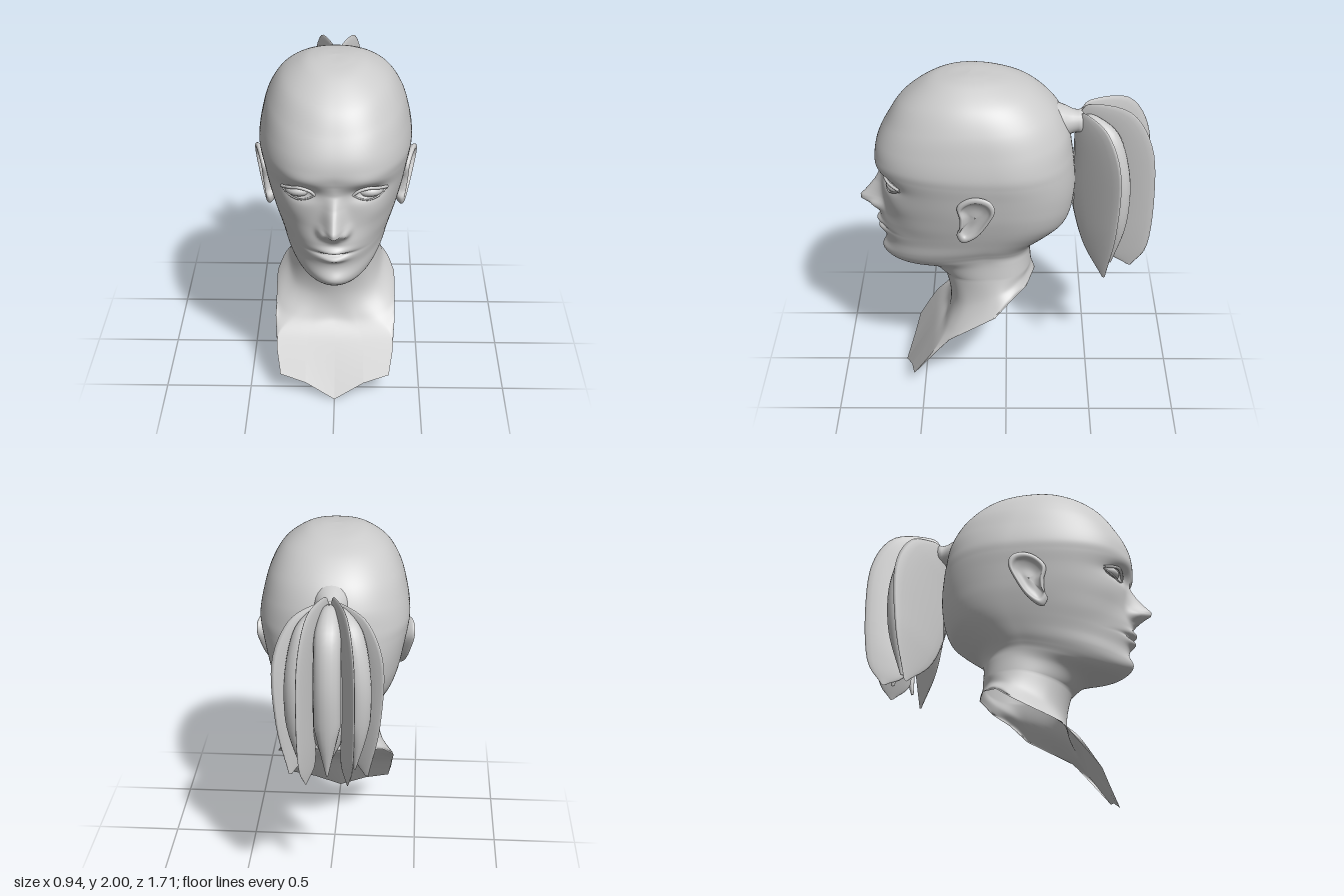
import * as THREE from 'three';

const material = new THREE.MeshStandardMaterial({ color: 0xcccccc, side: THREE.DoubleSide });
const V = (x, y, z) => new THREE.Vector3(x, y, z);
const spline = (pts, closed = false, tension = 0.5) =>
  new THREE.CatmullRomCurve3(pts.map(p => (p.isVector3 ? p : V(...p))), closed, 'catmullrom', tension);

function add(parent, name, geometry) {
  const mesh = new THREE.Mesh(geometry, material);
  mesh.name = name;
  parent.add(mesh);
  return mesh;
}

// Smooth skin over closed cross-section loops: point(i, j) with i along, j around
function loft(rows, cols, point) {
  const pos = [], idx = [];
  for (let i = 0; i <= rows; i++)
    for (let j = 0; j < cols; j++) pos.push(...point(i / rows, j / cols).toArray());
  for (let i = 0; i < rows; i++)
    for (let j = 0; j < cols; j++) {
      const a = i * cols + j, b = i * cols + (j + 1) % cols;
      idx.push(a, a + cols, b, b, a + cols, b + cols);
    }
  const g = new THREE.BufferGeometry();
  g.setAttribute('position', new THREE.Float32BufferAttribute(pos, 3));
  g.setIndex(idx);
  g.computeVertexNormals();
  return g;
}

// Linear lookup in ascending [key, value] pairs
function table(pts, k) {
  for (let i = 1; i < pts.length; i++)
    if (k >= pts[i - 1][0] && k <= pts[i][0])
      return THREE.MathUtils.mapLinear(k, pts[i - 1][0], pts[i][0], pts[i - 1][1], pts[i][1]);
  return 0;
}

// Head rings, crown to neck. Front line: [squareness, y, z]
const front = spline([
  [2, 2, .2], [2, 1.985, .34], [2.1, 1.945, .46], [2.2, 1.83, .605], [2.35, 1.7, .69], [2.45, 1.6, .74],
  [2.5, 1.52, .757], [2.5, 1.46, .748], [2.5, 1.38, .728], [2.4, 1.28, .722], [2.25, 1.18, .722], [2.15, 1.08, .733],
  [2.05, 1, .727], [2, .94, .716], [2, .87, .712], [2, .82, .69], [2, .79, .625], [2, .775, .47], [2, .71, .375]]);
// Widest line: [half width, y, z]
const side = spline([
  [0, 2, .2], [.105, 1.995, .2], [.195, 1.97, .2], [.308, 1.89, .17], [.38, 1.77, .13], [.417, 1.64, .09],
  [.435, 1.53, .06], [.43, 1.46, .05], [.415, 1.38, .04], [.4, 1.3, .04], [.385, 1.23, .04], [.365, 1.16, .04],
  [.345, 1.1, .05], [.322, 1.04, .08], [.3, .985, .11], [.28, .945, .12], [.265, .91, .12], [.257, .86, .09], [.26, .77, .08]]);
// Back line: [0, y, z]
const back = spline([
  [0, 2, .2], [0, 1.99, .08], [0, 1.965, -.04], [0, 1.91, -.165], [0, 1.8, -.285], [0, 1.67, -.355],
  [0, 1.54, -.38], [0, 1.45, -.392], [0, 1.35, -.4], [0, 1.26, -.398], [0, 1.16, -.382], [0, 1.08, -.35],
  [0, 1.03, -.3], [0, .98, -.235], [0, .94, -.178], [0, .91, -.155], [0, .88, -.146], [0, .85, -.143], [0, .78, -.147]]);

function headBase(t, a) {
  const f = front.getPoint(t), s = side.getPoint(t), b = back.getPoint(t);
  const c = Math.cos(a), sn = Math.sin(a), e = c > 0 ? f : b, n = c > 0 ? f.x : 2.25;
  const r = (Math.abs(c) ** n + Math.abs(sn) ** n) ** (-1 / n);
  const droop = c > 0 ? 2 - .8 * THREE.MathUtils.smoothstep(t, .5, .8) : 2;
  return V(s.x * sn * r, s.y + (e.y - s.y) * Math.abs(c) ** droop, s.z + Math.abs(e.z - s.z) * c * r);
}

const bump = (x, y, cx, cy, sx, sy) => Math.exp(-(((x - cx) / sx) ** 2) - ((y - cy) / sy) ** 2);
const noseHeight = [[1.09, 0], [1.11, .01], [1.135, .045], [1.16, .09], [1.185, .136], [1.21, .138], [1.25, .1], [1.31, .05], [1.38, .008], [1.44, 0]];

// Face relief: sockets, brows, cheeks, nose, lips and chin
function faceRelief(px, y) {
  const x = Math.abs(px);
  const noseWidth = THREE.MathUtils.clamp(.04 + (1.38 - y) * .08, .038, .054);
  return table(noseHeight, y) * Math.exp(-((x / noseWidth) ** 2))
    + .04 * bump(x, y, .065, 1.17, .026, .03)
    - .042 * bump(x, y, .18, 1.385, .09, .042)
    + .01 * bump(x, y, .17, 1.47, .12, .035)
    + .012 * bump(x, y, .25, 1.25, .09, .08)
    - .01 * bump(x, y, .22, 1.08, .08, .08)
    + .012 * bump(x, y, 0, 1.1, .1, .05)
    + .03 * bump(x, y, 0, 1.055, .08, .02)
    + .032 * bump(x, y, 0, 1.003, .07, .022)
    - .022 * bump(x, y, 0, 1.03, .1, .009)
    + .03 * bump(x, y, 0, .862, .1, .045);
}

// Neck base flaring into shoulders and a chest panel; half rows run front to back
const collarAngles = [0, .35, .7, 1, 1.5, 2, 2.6, Math.PI].map((a, k) => [a, k / 14]);
const collarLoops = [
  [[0, .55, .34], [.1, .55, .325], [.2, .56, .28], [.255, .59, .21], [.285, .66, .09], [.265, .7, 0], [.17, .73, -.1], [0, .74, -.155]],
  [[0, .41, .36], [.12, .41, .365], [.25, .42, .35], [.33, .46, .27], [.345, .565, .09], [.29, .66, -.02], [.18, .69, -.11], [0, .705, -.167]],
  [[0, .3, .445], [.16, .3, .445], [.34, .31, .44], [.352, .41, .33], [.352, .565, .07], [.29, .65, -.03], [.18, .685, -.12], [0, .7, -.172]],
  [[0, .003, .63], [.17, .088, .585], [.32, .13, .56], [.354, .4, .345], [.353, .56, .065], [.29, .645, -.032], [.18, .68, -.122], [0, .7, -.174]],
].map((half, i) => spline(
  [...half, ...half.slice(1, -1).reverse().map(([x, y, z]) => [-x, y, z])], true, i < 2 ? .5 : 0));

const headShare = .86;
function bustPoint(t, u) {
  const w = u * Math.PI * 2, a = w - .45 * Math.sin(w);
  if (t <= headShare) {
    const p = headBase(t / headShare, a);
    if (Math.cos(a) > 0) p.z += faceRelief(p.x, p.y) * Math.min(1, Math.cos(a) * 2);
    return p;
  }
  const around = a <= Math.PI ? table(collarAngles, a) : 1 - table(collarAngles, Math.PI * 2 - a);
  const column = spline([headBase(.965, a), headBase(1, a), ...collarLoops.map(l => l.getPoint(around))]);
  return column.getPoint(.2 + .8 * (t - headShare) / (1 - headShare));
}

// Ear: outline [0, y, z] scaled about its middle, from hollow over rim to root
const earOutline = spline([
  [0, 1.43, .15], [0, 1.41, .22], [0, 1.35, .275], [0, 1.27, .262], [0, 1.2, .265], [0, 1.15, .28],
  [0, 1.105, .245], [0, 1.16, .165], [0, 1.26, .1], [0, 1.35, .062], [0, 1.41, .085]], true);
const earSteps = spline([[.02, .405, 0], [.4, .403, 0], [.68, .415, 0], [.8, .432, 0], [.92, .433, 0], [1, .422, 0], [.94, .4, 0], [.72, .36, 0]]);
function earPoint(t, u) {
  const o = earOutline.getPoint(u), s = earSteps.getPoint(t);
  const y = 1.28 + (o.y - 1.28) * s.x, z = .175 + (o.z - .175) * s.x;
  return V(s.y + (.175 - z) * .24 + (y - 1.28) * .12, y, z);
}

// Hair lock: lens-shaped section between an outer and inner [reach, y] line
function lock(degrees, halfWidth, outer, inner) {
  const a = THREE.MathUtils.degToRad(degrees), rx = Math.sin(a), rz = -Math.cos(a);
  const flat = pts => spline(pts.map(([r, y]) => [r, y, 0]));
  const o = flat(outer), n = flat(inner);
  return loft(30, 16, (t, u) => {
    const c = Math.cos(u * Math.PI * 2), s = Math.sin(u * Math.PI * 2);
    const p = n.getPoint(t).lerp(o.getPoint(t), (1 + c) / 2);
    const w = halfWidth * Math.min(1, .3 + t * 2, .08 + (1 - t) * 4) * s;
    return V(rx * p.x + rz * w, p.y, -.4 + rz * p.x - rx * w);
  });
}

export function createModel() {
  const model = new THREE.Group();
  add(model, 'headNeckAndChest', loft(250, 150, bustPoint));

  // Ears, eyes and lids, mirrored
  for (const [label, sx] of [['left', 1], ['right', -1]]) {
    const half = new THREE.Group();
    half.name = label + 'Features';
    half.scale.x = sx;
    model.add(half);
    add(half, label + 'Ear', loft(28, 66, earPoint));
    const eye = add(half, label + 'Eyeball', new THREE.SphereGeometry(.085, 32, 20));
    eye.position.set(.187, 1.38, .6);
    eye.scale.y = .5;
    const upper = spline([[.1, 1.375, .695], [.135, 1.402, .698], [.19, 1.415, .688], [.24, 1.405, .66], [.287, 1.388, .605]]);
    const lower = spline([[.1, 1.375, .695], [.145, 1.35, .687], [.195, 1.341, .674], [.245, 1.354, .645], [.283, 1.38, .602]]);
    add(half, label + 'UpperLid', new THREE.TubeGeometry(upper, 24, .009, 8));
    add(half, label + 'LowerLid', new THREE.TubeGeometry(lower, 24, .005, 8));
  }

  // Ponytail: tie, thick middle, then fins and wings fanned around it
  const ponytail = new THREE.Group();
  ponytail.name = 'ponytail';
  model.add(ponytail);
  const tie = add(ponytail, 'hairTie', new THREE.LatheGeometry(
    [[.11, .01], [.09, .06], [.07, .1], [.065, .13], [.072, .15], [.05, .17]].map(p => new THREE.Vector2(...p)), 24));
  tie.rotation.x = -Math.PI / 2;
  tie.position.set(0, 1.69, -.28);
  add(ponytail, 'hairBody', lock(0, .14,
    [[0, 1.73], [.13, 1.75], [.24, 1.62], [.28, 1.4], [.28, 1.1], [.23, .87]],
    [[0, 1.64], [.06, 1.61], [.11, 1.48], [.07, 1.25], [.08, 1.05], [.21, .87]]));
  add(ponytail, 'backLock', lock(0, .075,
    [[0, 1.74], [.15, 1.77], [.31, 1.66], [.38, 1.4], [.37, 1.1], [.31, .83]],
    [[0, 1.68], [.1, 1.68], [.22, 1.55], [.25, 1.3], [.24, 1.1], [.29, .83]]));
  for (const s of [1, -1]) {
    add(ponytail, 'hairFin', lock(19 * s, .015,
      [[.02, 1.75], [.09, 1.81], [.32, 1.79], [.45, 1.6], [.48, 1.3], [.455, .95], [.36, .79]],
      [[.02, 1.68], [.1, 1.7], [.2, 1.6], [.24, 1.4], [.24, 1.15], [.22, .87], [.34, .79]]));
    add(ponytail, 'sideLock', lock(35 * s, .06,
      [[.02, 1.74], [.13, 1.75], [.28, 1.66], [.36, 1.4], [.35, 1.1], [.27, .83]],
      [[.02, 1.68], [.1, 1.67], [.22, 1.56], [.28, 1.35], [.27, 1.1], [.25, .83]]));
    add(ponytail, 'hairWing', lock(51 * s, .02,
      [[.02, 1.74], [.1, 1.76], [.28, 1.7], [.39, 1.48], [.37, 1.1], [.29, .77]],
      [[.01, 1.64], [-.01, 1.6], [-.02, 1.42], [-.03, 1.2], [.08, .93], [.27, .76]]));
  }
  return model;
}
